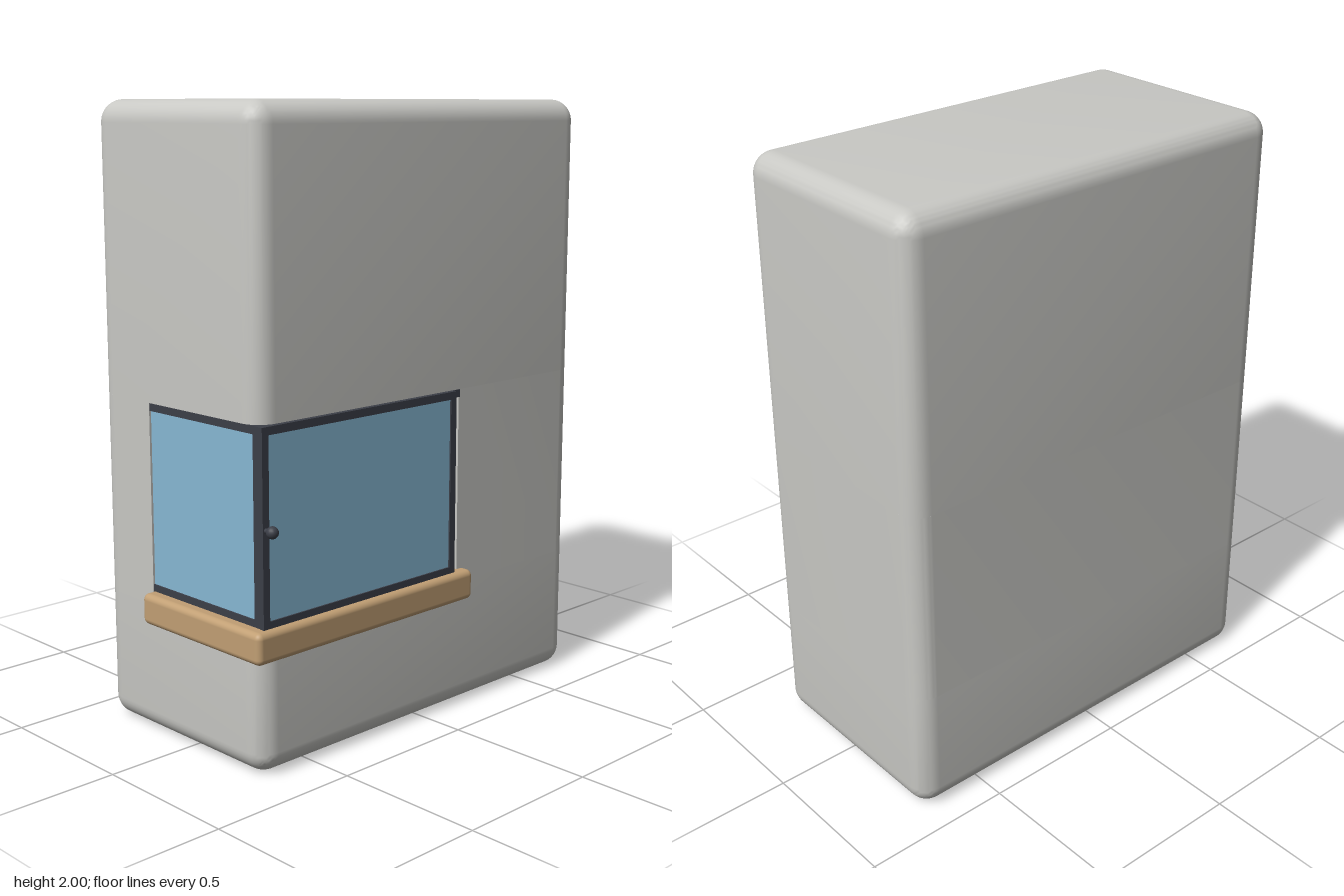
import * as THREE from 'three';
import { toCreasedNormals } from 'three/addons/utils/BufferGeometryUtils.js';
import { RoundedBoxGeometry } from 'three/addons/geometries/RoundedBoxGeometry.js';

const mat = (name, color) => Object.assign(new THREE.MeshStandardMaterial({ color }), { name });

export function createModel() {
  const wall = mat('plaster grey', 0xc8c8c4);
  const wood = mat('sill wood', 0xc19f74);
  const metal = mat('dark frame', 0x3c3f48);
  const glass = mat('window glass', 0x87b7d3);
  const model = new THREE.Group();
  model.name = 'cornerWindowBlock';

  const add = (name, geometry, material, parent = model) => {
    const mesh = new THREE.Mesh(geometry, material);
    mesh.name = name;
    parent.add(mesh);
    return mesh;
  };
  // Box given by its limits on each axis, with optional rounded edges
  const span = (name, [x0, x1], [y0, y1], [z0, z1], material, r = 0, parent = model) => {
    const size = [x1 - x0, y1 - y0, z1 - z0];
    const g = r ? new RoundedBoxGeometry(...size, 4, r) : new THREE.BoxGeometry(...size);
    g.translate((x0 + x1) / 2, (y0 + y1) / 2, (z0 + z1) / 2);
    return add(name, g, material, parent);
  };

  // Wall block limits and the corner niche cut into it
  const X0 = -0.71, X1 = 0.745, Z0 = -0.415, Z1 = 0.35, R = 0.07;
  const nicheX = 0.15, nicheZ = -0.16, low = 0.43, high = 1.08;

  // Rounded block squashed flat at a cutting height
  const cutBlock = (name, from, to) => {
    const g = new RoundedBoxGeometry(X1 - X0, 2, Z1 - Z0, 6, R);
    g.translate((X0 + X1) / 2, 1, (Z0 + Z1) / 2);
    const p = g.attributes.position;
    for (let i = 0; i < p.count; i++) p.setY(i, THREE.MathUtils.clamp(p.getY(i), from, to));
    add(name, toCreasedNormals(g, 0.7), wall);
  };
  cutBlock('lowerWall', 0, low);
  cutBlock('upperWall', high, 2);

  // Middle of the wall: rounded outline without the niche corner (shape y is -z)
  const s = new THREE.Shape();
  s.moveTo(nicheX, -Z1);
  s.lineTo(X1 - R, -Z1);
  s.absarc(X1 - R, -Z1 + R, R, -Math.PI / 2, 0);
  s.lineTo(X1, -Z0 - R);
  s.absarc(X1 - R, -Z0 - R, R, 0, Math.PI / 2);
  s.lineTo(X0 + R, -Z0);
  s.absarc(X0 + R, -Z0 - R, R, Math.PI / 2, Math.PI);
  s.lineTo(X0, -nicheZ);
  s.lineTo(nicheX, -nicheZ);
  s.closePath();
  const middle = new THREE.ExtrudeGeometry(s, { depth: high - low, bevelEnabled: false, curveSegments: 8 });
  middle.rotateX(-Math.PI / 2).translate(0, low, 0);
  add('middleWall', toCreasedNormals(middle, 0.7), wall);

  // Wooden sill filling the niche floor and projecting on both outer sides
  span('sill', [-0.75, 0.19], [0.375, 0.475], [-0.17, 0.39], wood, 0.02);
  span('backLedge', [-0.66, 0.09], [0.475, 0.56], [nicheZ, -0.13], wood);

  // Dark lining of the niche and the header above the windows
  span('nicheBack', [-0.69, nicheX], [0.475, high], [nicheZ, nicheZ + 0.008], metal);
  span('backPost', [0.11, nicheX], [0.475, high], [nicheZ, -0.12], metal);
  span('header', [-0.705, 0.152], [1.055, high], [0.32, 0.353], metal);

  // Framed window in the xy plane, its lower left corner at the origin
  const windowPanel = (name, w, h, depth) => {
    const g = new THREE.Group(), b = 0.025, d = [0, depth];
    g.name = name;
    for (const x of [0, w - b]) span('post', [x, x + b], [0, h], d, metal, 0, g);
    for (const y of [0, h - b]) span('rail', [b, w - b], [y, y + b], d, metal, 0, g);
    span('pane', [b, w - b], [b, h - b], [depth / 2 - 0.004, depth / 2 + 0.004], glass, 0, g);
    model.add(g);
    return g;
  };
  const height = high - 0.472;
  windowPanel('frontWindow', 0.83, height, 0.018).position.set(-0.71, 0.472, 0.35);
  const side = windowPanel('sideWindow', 0.535, height, 0.018);
  side.rotation.y = -Math.PI / 2;
  side.position.set(-0.69, 0.472, -0.185);

  // Knob on the front window
  const stem = new THREE.CylinderGeometry(0.008, 0.008, 0.035, 12);
  stem.rotateX(Math.PI / 2).translate(-0.698, 0.775, 0.38);
  add('knobStem', stem, metal);
  add('knob', new THREE.SphereGeometry(0.019, 16, 12), metal).position.set(-0.698, 0.775, 0.396);

  return model;
}
